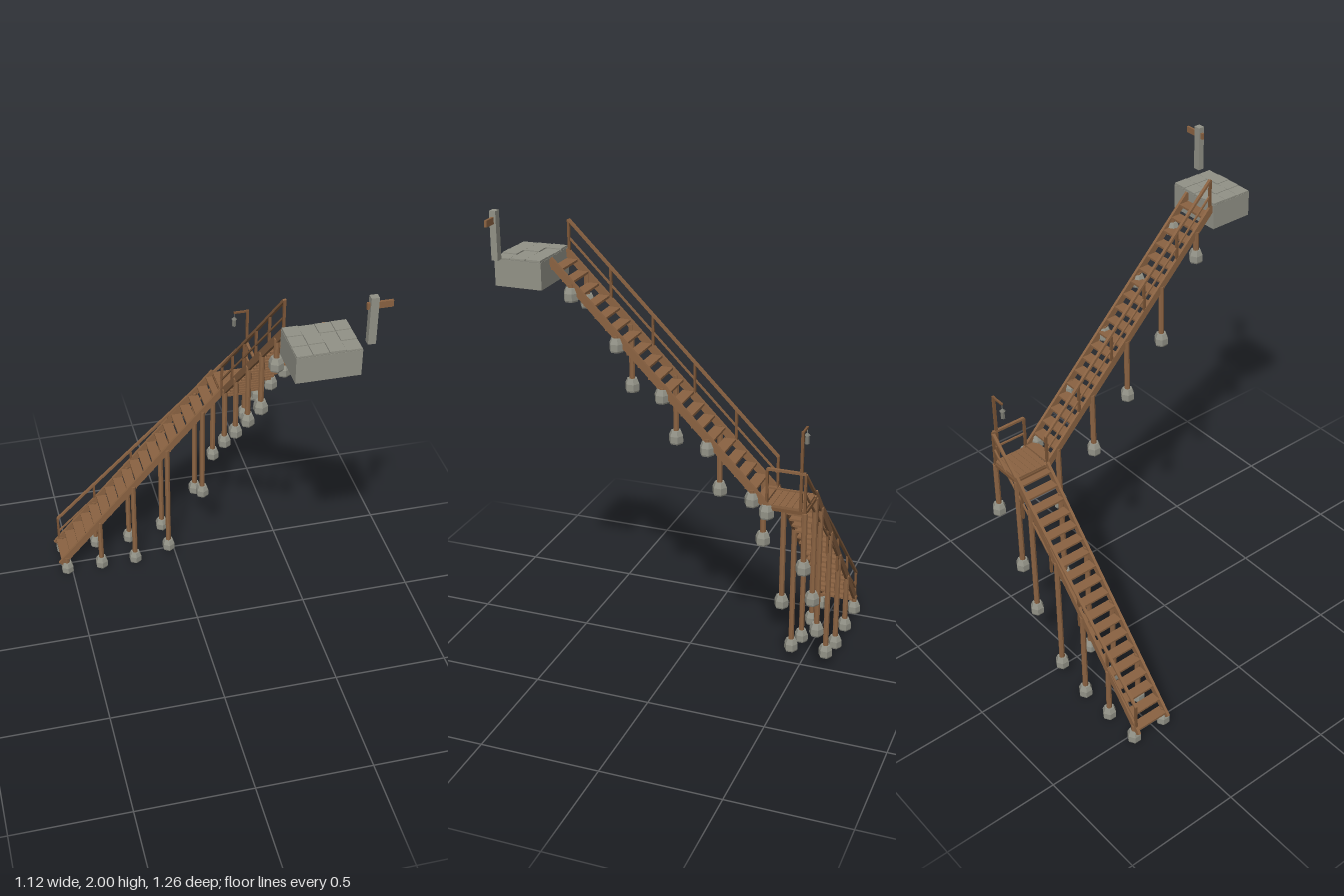
import * as THREE from 'three';

export function createModel() {
  const model = new THREE.Group();
  const mat = (name, color, flatShading = true) => {
    const m = new THREE.MeshStandardMaterial({ color, flatShading });
    m.name = name;
    return m;
  };
  const wood = mat('wood', 0x8b6342);
  const darkWood = mat('dark wood', 0x7c5637);
  const stone = mat('stone', 0x929287);
  const joint = mat('stone joint', 0x84847a);
  const metal = mat('lamp metal', 0x77776f);

  const group = (name) => {
    const g = new THREE.Group();
    g.name = name;
    model.add(g);
    return g;
  };
  const add = (parent, name, geo, material, x, y, z) => {
    const m = new THREE.Mesh(geo, material);
    m.name = name;
    m.position.set(x, y, z);
    parent.add(m);
    return m;
  };
  const box = (parent, name, material, w, h, d, x, y, z) =>
    add(parent, name, new THREE.BoxGeometry(w, h, d), material, x, y, z);
  // Square timber between two points
  const beam = (parent, name, material, a, b, w, h) => {
    const A = new THREE.Vector3(...a), B = new THREE.Vector3(...b);
    const mid = A.clone().add(B).multiplyScalar(0.5);
    const m = box(parent, name, material, w, h, A.distanceTo(B), mid.x, mid.y, mid.z);
    m.lookAt(B);
    return m;
  };

  const backZ = -0.602, frontZ = -0.449;   // sides of the lower flight
  const innerX = 0.217, outerX = 0.366;    // sides of the upper flight
  const lowerY = (x) => 0.05 + 1.13 * (x + 0.55);
  const upperY = (z) => 0.905 + 1.005 * (z + 0.45);

  // Lower flight
  const lower = group('lowerFlight');
  for (const z of [backZ, frontZ]) {
    beam(lower, 'stringer', wood, [-0.55, lowerY(-0.55), z], [0.22, lowerY(0.22), z], 0.012, 0.03);
  }
  for (let i = 0; i < 19; i++) {
    const x = -0.525 + i * 0.0405;
    box(lower, 'tread', wood, 0.046, 0.009, 0.145, x, lowerY(x) - 0.008, (backZ + frontZ) / 2);
  }

  // Upper flight
  const upper = group('upperFlight');
  for (const x of [innerX, outerX]) {
    beam(upper, 'stringer', wood, [x, upperY(-0.45), -0.45], [x, upperY(0.435), 0.435], 0.012, 0.03);
  }
  for (let i = 0; i < 20; i++) {
    const z = -0.425 + i * 0.0438;
    box(upper, 'tread', wood, 0.141, 0.009, 0.048, (innerX + outerX) / 2, upperY(z) - 0.008, z);
  }

  // Corner landing
  const landing = group('landing');
  for (let i = 0; i < 6; i++) {
    box(landing, 'plank', wood, 0.155, 0.01, 0.0245, 0.292, 0.912, -0.59 + i * 0.0258);
  }
  for (const z of [backZ, frontZ]) box(landing, 'joist', darkWood, 0.155, 0.014, 0.012, 0.292, 0.9, z);
  for (const x of [innerX, outerX]) box(landing, 'joist', darkWood, 0.012, 0.014, 0.155, x, 0.9, -0.526);

  // Railings: evenly spaced posts with a top and a middle rail
  const railing = (name, a, b, height, bays) => {
    const g = group(name);
    const at = (t, dy) => a.map((v, i) => v + (b[i] - v) * t + (i === 1 ? dy : 0));
    for (let i = 0; i <= bays; i++) {
      const [x, y, z] = at(i / bays, height / 2);
      box(g, 'railPost', darkWood, 0.01, height, 0.01, x, y, z);
    }
    beam(g, 'handrail', wood, at(0, height), at(1, height), 0.012, 0.01);
    beam(g, 'middleRail', wood, at(0, height / 2), at(1, height / 2), 0.007, 0.007);
  };
  railing('lowerRailing', [-0.535, 0.04, backZ], [outerX, 0.9, backZ], 0.158, 5);
  railing('upperRailing', [innerX, 0.91, -0.447], [innerX, 1.775, 0.42], 0.142, 5);
  railing('landingRailing', [outerX, 0.91, frontZ], [outerX, 0.91, backZ], 0.153, 1);

  // Support posts on six-sided stone feet: [x, z, foot centre y, post top y]
  const supports = [
    [0.13, backZ, 0.268, lowerY(0.13)], [0.13, frontZ, 0.37, lowerY(0.13)],
    [innerX, backZ, 0.457, 0.9], [outerX, backZ, 0.67, 0.9], [outerX, frontZ, 0.885, 0.905],
  ];
  [[-0.522, 0.028], [-0.358, 0.028], [-0.196, 0.028], [-0.034, 0.072]].forEach(([x, y]) => {
    for (const z of [backZ, frontZ]) supports.push([x, z, y, lowerY(x)]);
  });
  [[-0.39, 0.69, 0.927], [-0.206, 0.88, 1.112], [-0.021, 1.075, 1.303],
    [0.164, 1.272, 1.487], [0.349, 1.6, 1.668]].forEach(([z, yIn, yOut]) => {
    supports.push([innerX, z, yIn, upperY(z)], [outerX, z, yOut, upperY(z)]);
  });
  const footGeo = new THREE.LatheGeometry(
    [[0, 0], [0.027, 0], [0.03, 0.007], [0.03, 0.034], [0.021, 0.055], [0, 0.055]]
      .map(([r, y]) => new THREE.Vector2(r, y)), 6);
  footGeo.rotateY(Math.PI / 6);
  const supportGroup = group('supports');
  for (const [x, z, y, top] of supports) {
    const foot = add(supportGroup, 'foot', footGeo, stone, x, y - 0.028, z);
    foot.rotation.y = 0;
    const h = Math.max(top - y, 0.02);
    add(supportGroup, 'supportPost', new THREE.CylinderGeometry(0.012, 0.012, h, 8), wood, x, y + h / 2, z);
  }
  footGeo.rotateY(Math.PI / 3 * 0.5); // corners point sideways

  // Stone platform with paving
  const platform = group('platform');
  box(platform, 'platformBlock', joint, 0.243, 0.108, 0.192, 0.327, 1.75, 0.528);
  for (let i = 0; i < 4; i++) {
    for (let j = 0; j < 3; j++) {
      const h = 0.01 - ((i * 2 + j) % 3) * 0.0015;
      box(platform, 'pavingSlab', stone, 0.059, h, 0.061,
        0.2355 + i * 0.061, 1.801 + h / 2, 0.464 + j * 0.064);
    }
  }
  box(platform, 'platformFace', stone, 0.245, 0.106, 0.194, 0.327, 1.749, 0.528);

  // Signpost beside the platform
  const sign = group('signpost');
  box(sign, 'signPost', stone, 0.03, 0.19, 0.026, 0.486, 1.905, 0.596);
  box(sign, 'signBoard', wood, 0.097, 0.026, 0.01, 0.509, 1.964, 0.596);

  // Hanging lamp at the landing corner
  const lamp = group('lamp');
  box(lamp, 'lampPost', darkWood, 0.011, 0.335, 0.011, 0.366, 1.068, -0.585);
  box(lamp, 'lampArm', darkWood, 0.065, 0.008, 0.008, 0.336, 1.23, -0.585);
  box(lamp, 'lampCord', metal, 0.003, 0.03, 0.003, 0.306, 1.212, -0.585);
  add(lamp, 'lantern', new THREE.CylinderGeometry(0.008, 0.01, 0.034, 6), metal, 0.306, 1.18, -0.585);
  add(lamp, 'lanternCap', new THREE.ConeGeometry(0.013, 0.012, 6), metal, 0.306, 1.203, -0.585);

  return model;
}
